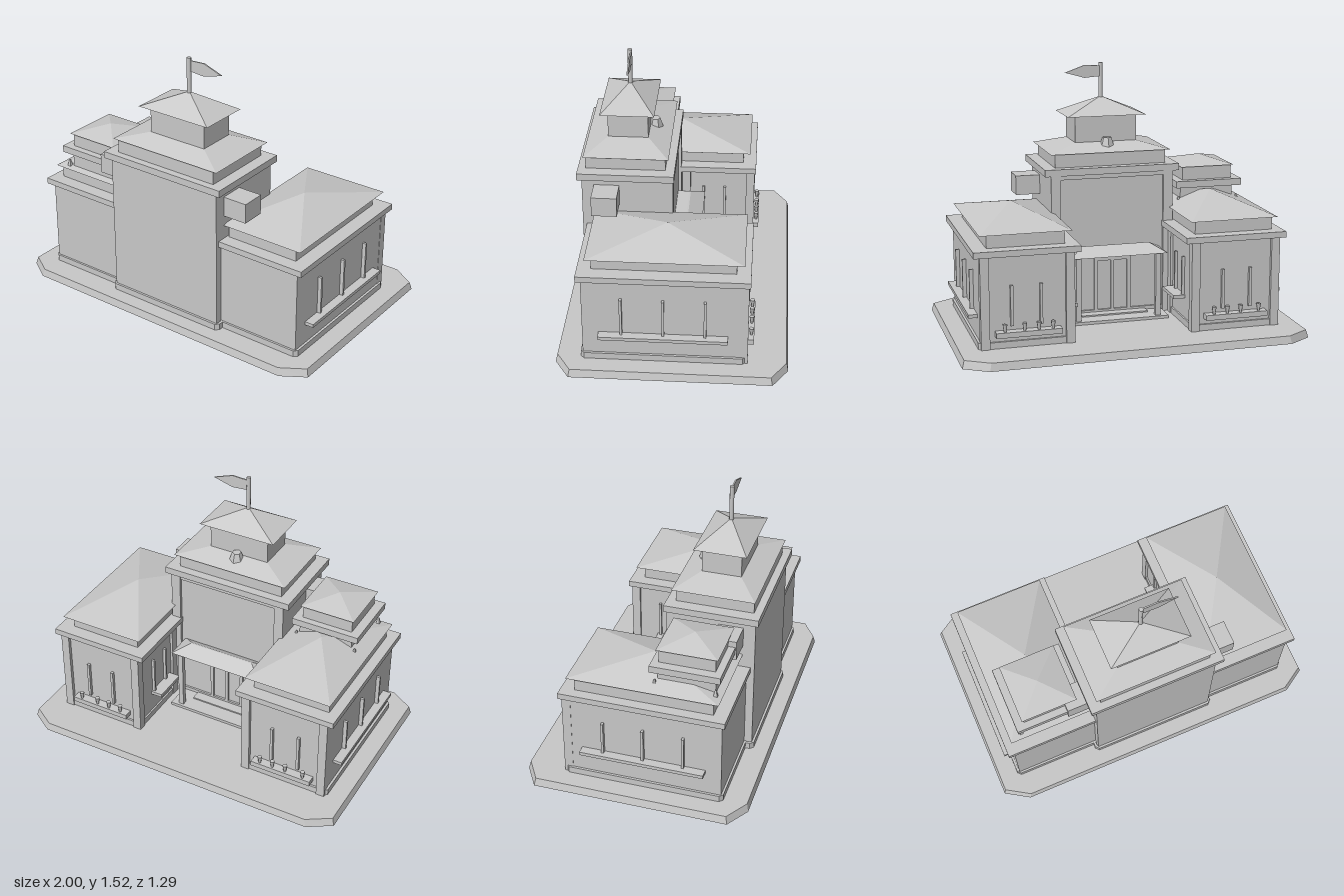
import * as THREE from 'three';

export function createModel() {
  const root = new THREE.Group();
  const stone = new THREE.MeshStandardMaterial({ color: 0xc8c8c8 });
  stone.name = 'grey stone';

  const add = (name, geo, parent = root) => {
    const m = new THREE.Mesh(geo, stone);
    m.name = name;
    parent.add(m);
    return m;
  };
  // Box from its limits; the x limits may come in either order
  const box = (name, xa, xb, y0, y1, z0, z1, parent = root) => {
    const g = new THREE.BoxGeometry(Math.abs(xb - xa), y1 - y0, z1 - z0);
    g.translate((xa + xb) / 2, (y0 + y1) / 2, (z0 + z1) / 2);
    return add(name, g, parent);
  };
  // Hip roof: a box whose top face shrinks to half-sizes tx, tz
  const roof = (name, cx, cz, w, d, y0, y1, tx, tz, parent = root) => {
    const g = new THREE.BoxGeometry(w, y1 - y0, d);
    const p = g.attributes.position;
    for (let i = 0; i < p.count; i++) {
      const top = p.getY(i) > 0;
      const x = top ? Math.sign(p.getX(i)) * tx : p.getX(i);
      const z = top ? Math.sign(p.getZ(i)) * tz : p.getZ(i);
      p.setXYZ(i, cx + x, top ? y1 : y0, cz + z);
    }
    g.computeVertexNormals();
    return add(name, g, parent);
  };
  const polygon = pts => pts.map(([x, y]) => new THREE.Vector2(x, y));
  // Upright extrusion of a ground outline between two heights
  const rise = (shape, y0, y1) => {
    const g = new THREE.ExtrudeGeometry(shape, { depth: y1 - y0, bevelEnabled: false });
    g.rotateX(-Math.PI / 2);
    return g.translate(0, y0, 0);
  };
  // Baseboard: hollow ring with chamfered corners, reaching down through the plinth
  const baseboard = (x0, x1, z0, z1, parent) => {
    const ring = (i, c = 0.02) => polygon([[x0 + c, -z1 + i], [x1 - c, -z1 + i], [x1 - i, -z1 + c], [x1 - i, -z0 - c],
      [x1 - c, -z0 - i], [x0 + c, -z0 - i], [x0 + i, -z0 - c], [x0 + i, -z1 + c]]);
    const s = new THREE.Shape(ring(0));
    s.holes.push(new THREE.Path(ring(0.014, 0.026)));
    add('baseboard', rise(s, 0.01, 0.082), parent);
  };

  // Plinth: cut-corner tray, tapering upward and hollow below
  const outline = (k = 1) => polygon([[1, 0.56], [0.865, 0.645], [-0.865, 0.645], [-1, 0.56],
    [-1, -0.56], [-0.865, -0.645], [0.865, -0.645], [1, -0.56]].map(([x, z]) => [x * k, z * k]));
  const plinth = (name, shape, y0) => {
    const g = rise(shape, y0, 0.045);
    const p = g.attributes.position;
    for (let i = 0; i < p.count; i++) {
      const t = p.getY(i) / 0.045;
      p.setX(i, p.getX(i) * (1 - 0.012 * t));
      p.setZ(i, p.getZ(i) * (1 - 0.015 * t));
    }
    g.computeVertexNormals();
    add(name, g);
  };
  const rim = new THREE.Shape(outline());
  rim.holes.push(new THREE.Path(outline(0.993)));
  plinth('plinthRim', rim, 0);
  plinth('plinthTop', new THREE.Shape(outline(0.994)), 0.039);

  // Side wings
  for (const s of [1, -1]) {
    const wing = new THREE.Group();
    wing.name = s > 0 ? 'leftWing' : 'rightWing';
    root.add(wing);
    const b = (name, xa, xb, y0, y1, z0, z1) => box(name, s * xa, s * xb, y0, y1, z0, z1, wing);
    b('wingWalls', 0.355, 0.868, 0.04, 0.57, -0.4, 0.49);
    const ends = [s * 0.345, s * 0.882].sort((p, q) => p - q);
    baseboard(ends[0], ends[1], -0.412, 0.502, wing);
    // Corner pilasters
    for (const x of [0.34, 0.82]) b('cornerPilaster', x, x + 0.05, 0.045, 0.57, -0.42, -0.37);
    b('innerPilaster', 0.34, 0.36, 0.045, 0.57, -0.03, 0.02);
    b('wingCornice', 0.305, 0.905, 0.565, 0.6, -0.428, 0.513);
    b('wingAttic', 0.38, s > 0 ? 0.82 : 0.845, 0.6, 0.68, -0.35, 0.435);
    roof('wingRoof', s * 0.605, 0.037, 0.52, 0.86, 0.68, 0.775, 0, 0, wing);

    // Outer sill and slender window bars
    const up = s > 0 ? 0 : 0.015;
    b('outerSill', 0.865, 0.92, 0.2 + up, 0.22 + up, -0.31, 0.4);
    for (const z of [0.275, 0.045, -0.185])
      b('outerWindowBar', 0.866, 0.89, 0.22 + up, 0.445 - up, z - 0.007, z + 0.007);
    // Inner sill and bars
    b('innerSill', 0.285, 0.36, 0.2, 0.22, -0.26, -0.05);
    for (const z of [-0.24, -0.11]) b('innerWindowBar', 0.338, 0.36, 0.22, 0.445, z - 0.007, z + 0.007);
    // Back sill, window bars and pots
    b('backSill', 0.42, 0.79, 0.115, 0.145, -0.452, -0.39);
    for (const x of [0.53, 0.695]) b('backWindowBar', x - 0.008, x + 0.008, 0.17, 0.4, -0.418, -0.395);
    for (const x of [0.47, 0.55, 0.63, 0.74]) {
      const pot = add('pot', new THREE.CylinderGeometry(0.014, 0.007, 0.045, 6), wing);
      pot.position.set(s * x, 0.167, -0.436);
    }
    // Box bay joining the central tower
    b('sideBay', 0.35, 0.512, 0.74, 0.855, 0.325, 0.467);
  }

  // Small turret above the right wing
  const turret = new THREE.Group();
  turret.name = 'turret';
  root.add(turret);
  box('turretBase', -0.765, -0.44, 0.69, 0.79, 0.1, 0.425, turret);
  box('turretCornice', -0.813, -0.405, 0.78, 0.82, 0.065, 0.46, turret);
  box('turretAttic', -0.76, -0.455, 0.82, 0.9, 0.105, 0.42, turret);
  roof('turretRoof', -0.608, 0.263, 0.33, 0.345, 0.9, 0.947, 0, 0, turret);
  for (const x of [-0.79, -0.425]) for (const z of [0.09, 0.43])
    roof('turretFoot', x, z, 0.03, 0.03, 0.665, 0.725, 0.004, 0.004, turret);

  // Central tower
  const tower = new THREE.Group();
  tower.name = 'centralTower';
  root.add(tower);
  box('towerWalls', -0.367, 0.367, 0.04, 0.905, 0.042, 0.535, tower);
  baseboard(-0.385, 0.385, 0.03, 0.548, tower);
  for (const s of [1, -1]) box('towerPilaster', s * 0.367, s * 0.31, 0.045, 0.905, 0.025, 0.07, tower);
  box('towerLintel', -0.367, 0.367, 0.875, 0.905, 0.03, 0.07, tower);
  box('towerCornice', -0.403, 0.403, 0.9, 0.94, 0.018, 0.558, tower);
  box('towerAttic', -0.332, 0.332, 0.94, 1.02, 0.07, 0.515, tower);
  roof('lowerRoof', 0, 0.288, 0.72, 0.475, 1.02, 1.065, 0.185, 0.113, tower);
  box('lantern', -0.185, 0.185, 1.06, 1.22, 0.176, 0.402, tower);
  roof('upperRoof', 0, 0.29, 0.474, 0.304, 1.22, 1.32, 0, 0, tower);
  const vent = add('roofVent', new THREE.CylinderGeometry(0.027, 0.046, 0.06, 6).toNonIndexed(), tower);
  vent.geometry.computeVertexNormals();
  vent.position.set(0, 1.064, 0.15);

  // Flagpole and flag
  const pole = add('flagpole', new THREE.CylinderGeometry(0.013, 0.013, 0.22, 8), tower);
  pole.position.set(0, 1.408, 0.29);
  const flagShape = new THREE.Shape(polygon(
    [[0.008, 1.437], [0.1, 1.43], [0.218, 1.463], [0.1, 1.505], [0.008, 1.5]]));
  const flag = add('flag', new THREE.ExtrudeGeometry(flagShape, { depth: 0.008, bevelEnabled: false }), tower);
  flag.position.z = 0.28;

  // Back porch between the wings
  const porch = new THREE.Group();
  porch.name = 'porch';
  root.add(porch);
  roof('porchRoof', 0, -0.035, 0.585, 0.175, 0.44, 0.49, 0.205, 0.005, porch);
  box('porchFloor', -0.3, 0.3, 0.04, 0.062, -0.125, 0.06, porch);
  box('doorStep', -0.2, 0.2, 0.012, 0.07, -0.03, 0.05, porch);
  for (const x of [-0.24, 0.24]) box('porchPost', x - 0.015, x + 0.015, 0.06, 0.445, -0.108, -0.078, porch);
  for (const x of [-0.1, 0, 0.1]) box('doorFrame', x - 0.01, x + 0.01, 0.06, 0.4, 0.03, 0.06, porch);
  box('doorHead', -0.11, 0.11, 0.38, 0.4, 0.03, 0.06, porch);

  return root;
}
